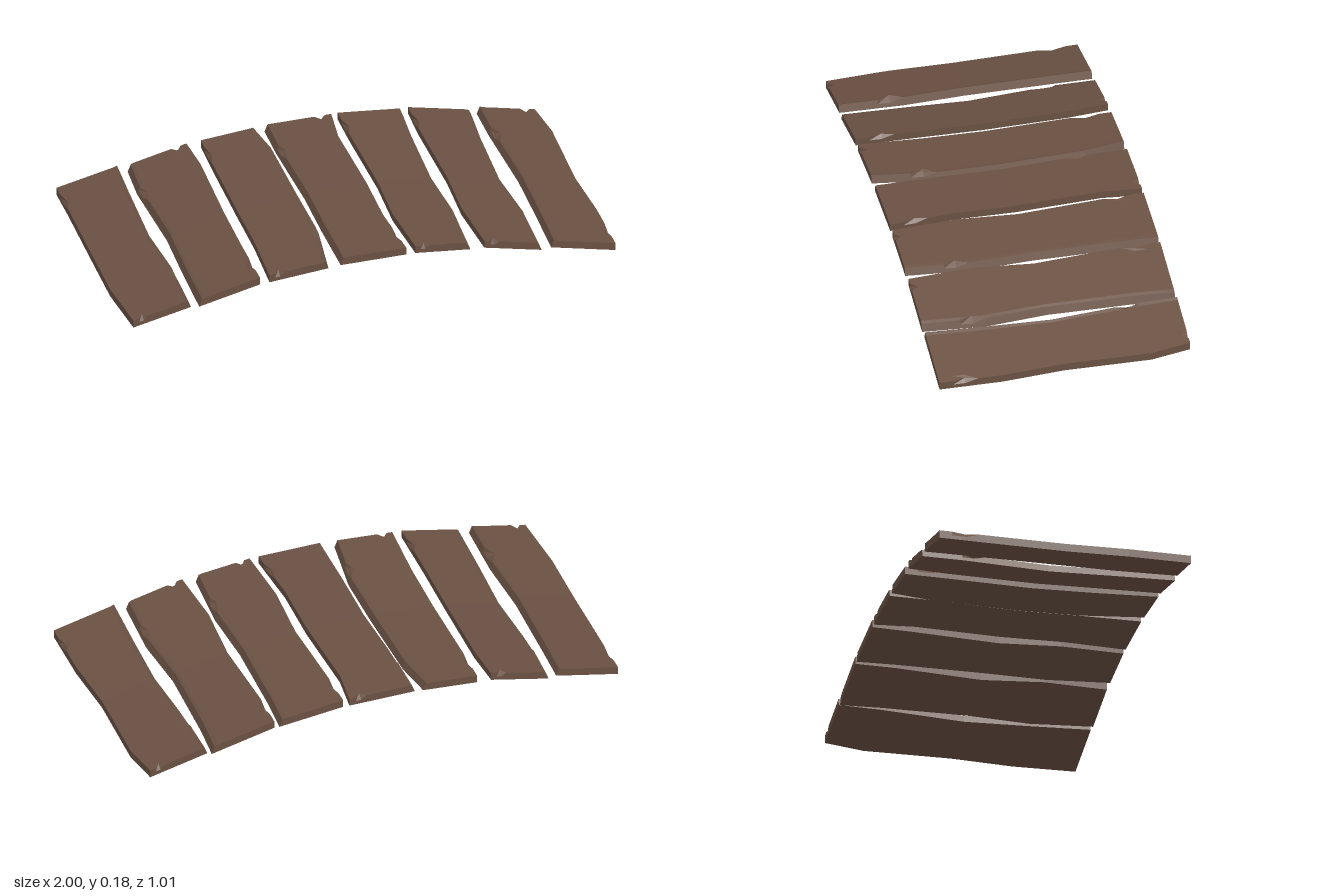
import * as THREE from 'three';

// Plank rows along z, and columns as fractions of the width
const ROWS = [-0.51, -0.46, -0.4, -0.35, -0.3, -0.25, -0.12, 0, 0.12, 0.25, 0.3, 0.35, 0.4, 0.45, 0.505];
const COLS = [0, 0.1, 0.18, 0.26, 0.5, 0.74, 0.82, 0.9, 1];
const KEYS = [-0.51, -0.35, 0, 0.25, 0.505]; // z of the edge readings below
const THICK = 0.032;

// left / right: edge x at KEYS; y: top height at both sides; turn: -1 for planks laid the other way round
const PLANKS = [
  { left: [-0.99, -0.99, -0.995, -1, -0.982], right: [-0.73, -0.738, -0.752, -0.738, -0.746], y: [0.038, 0.092], turn: 1, sag: 0.006 },
  { left: [-0.698, -0.708, -0.692, -0.704, -0.712], right: [-0.457, -0.447, -0.457, -0.462, -0.463], y: [0.093, 0.147], turn: -1, sag: 0.01 },
  { left: [-0.398, -0.402, -0.405, -0.409, -0.424], right: [-0.172, -0.147, -0.145, -0.145, -0.182], y: [0.15, 0.172], turn: 1, sag: 0.01 },
  { left: [-0.137, -0.139, -0.127, -0.132, -0.132], right: [0.137, 0.117, 0.126, 0.12, 0.137], y: [0.174, 0.174], turn: -1, sag: 0.004 },
  { left: [0.163, 0.163, 0.172, 0.158, 0.174], right: [0.43, 0.418, 0.404, 0.416, 0.4], y: [0.174, 0.149], turn: 1, sag: 0.01 },
  { left: [0.452, 0.448, 0.457, 0.441, 0.457], right: [0.714, 0.7, 0.684, 0.704, 0.692], y: [0.146, 0.094], turn: 1, sag: 0.012 },
  { left: [0.733, 0.733, 0.75, 0.742, 0.731], right: [0.972, 0.994, 0.982, 0.997, 0.995], y: [0.092, 0.038], turn: -1, sag: 0.006 },
];

function edgeAt(edge, z) {
  let i = 0;
  while (i < KEYS.length - 2 && z > KEYS[i + 1]) i++;
  return THREE.MathUtils.mapLinear(z, KEYS[i], KEYS[i + 1], edge[i], edge[i + 1]);
}

function plankGeometry({ left, right, y, turn, sag }) {
  const nx = COLS.length - 1, nz = ROWS.length - 1;
  const box = new THREE.BoxGeometry(1, 1, 1, nx, 2, nz);
  const pos = box.attributes.position;
  for (let i = 0; i < pos.count; i++) {
    const c = Math.round((pos.getX(i) + 0.5) * nx);
    const r = Math.round((pos.getZ(i) + 0.5) * nz);
    const h = pos.getY(i) + 0.5; // 0 underside, 1 top
    let z = ROWS[r];
    const a = edgeAt(left, z), b = edgeAt(right, z);
    let x = a + (b - a) * COLS[c];
    const slope = (y[1] - y[0]) / (right[2] - left[2]);
    const top = y[0] + slope * (x - left[2]) - sag * (1 - Math.abs(z) / 0.51);

    // One long side leans in towards the top
    const leanCol = turn > 0 ? nx : 0;
    if (c === leanCol) x -= turn * 0.012 * h;
    // Chips broken out of the upper edges
    const chip = (col, zc, size) => {
      if (c === col && Math.abs(z - zc) < 0.01) x += (col === 0 ? 1 : -1) * size * Math.max(0, h * 2 - 1);
    };
    chip(leanCol, 0.3 * turn, 0.025);
    chip(nx - leanCol, -0.4 * turn, 0.014);
    const endRow = turn > 0 ? nz : 0, endCol = turn > 0 ? 2 : nx - 2;
    if (r === endRow && c === endCol && h === 1) z -= turn * 0.025;

    pos.setXYZ(i, x, top - THICK * (1 - h), z);
  }
  const flat = box.toNonIndexed();
  flat.computeVertexNormals();
  return flat;
}

export function createModel() {
  const group = new THREE.Group();
  group.name = 'archedPlankDeck';
  const wood = new THREE.MeshStandardMaterial({ color: 0x6a5143 });
  wood.name = 'brownWood';
  PLANKS.forEach((spec, i) => {
    const plank = new THREE.Mesh(plankGeometry(spec), wood);
    plank.name = `plank${i + 1}`;
    group.add(plank);
  });
  return group;
}
